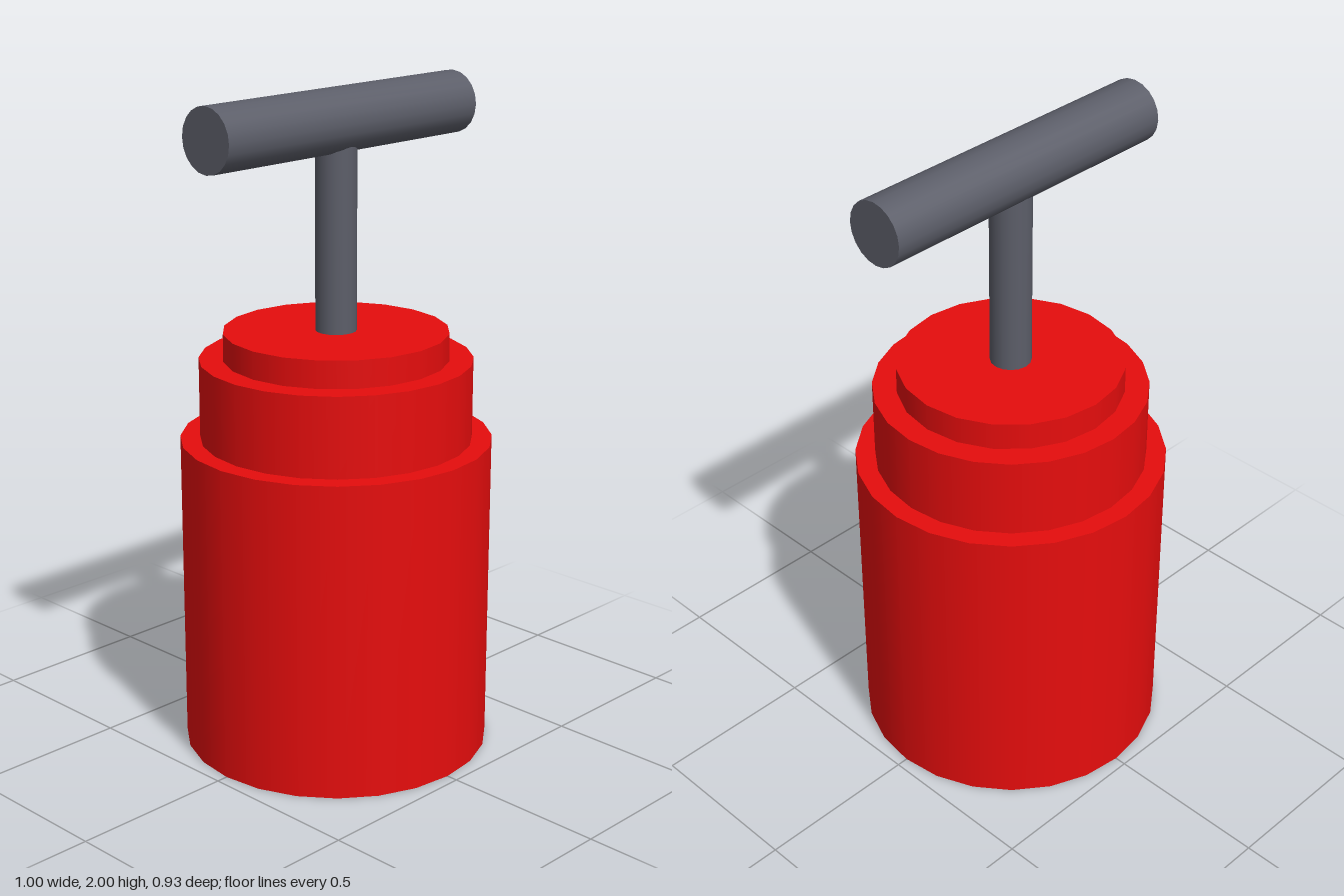
import * as THREE from 'three';

export function createModel() {
  const model = new THREE.Group();
  const red = new THREE.MeshStandardMaterial({ color: 0xe60d0d });
  const grey = new THREE.MeshStandardMaterial({ color: 0x5c5e69 });

  // Upright cylinder spanning two heights
  const cylinder = (name, radius, bottom, top, sides, material) => {
    const mesh = new THREE.Mesh(
      new THREE.CylinderGeometry(radius, radius, top - bottom, sides), material);
    mesh.name = name;
    mesh.position.y = (bottom + top) / 2;
    model.add(mesh);
    return mesh;
  };

  // Stepped body
  cylinder('body', 0.465, 0, 0.963, 24, red);
  cylinder('shoulder', 0.406, 0.963, 1.205, 24, red);
  cylinder('cap', 0.335, 1.205, 1.288, 20, red);

  // Plunger rod, running up into the handle
  cylinder('plungerRod', 0.061, 1.288, 1.906, 16, grey);

  // Crossbar handle lying along x
  const handle = cylinder('handle', 0.094, 1.406, 2.406, 20, grey);
  handle.rotation.z = Math.PI / 2;

  return model;
}
